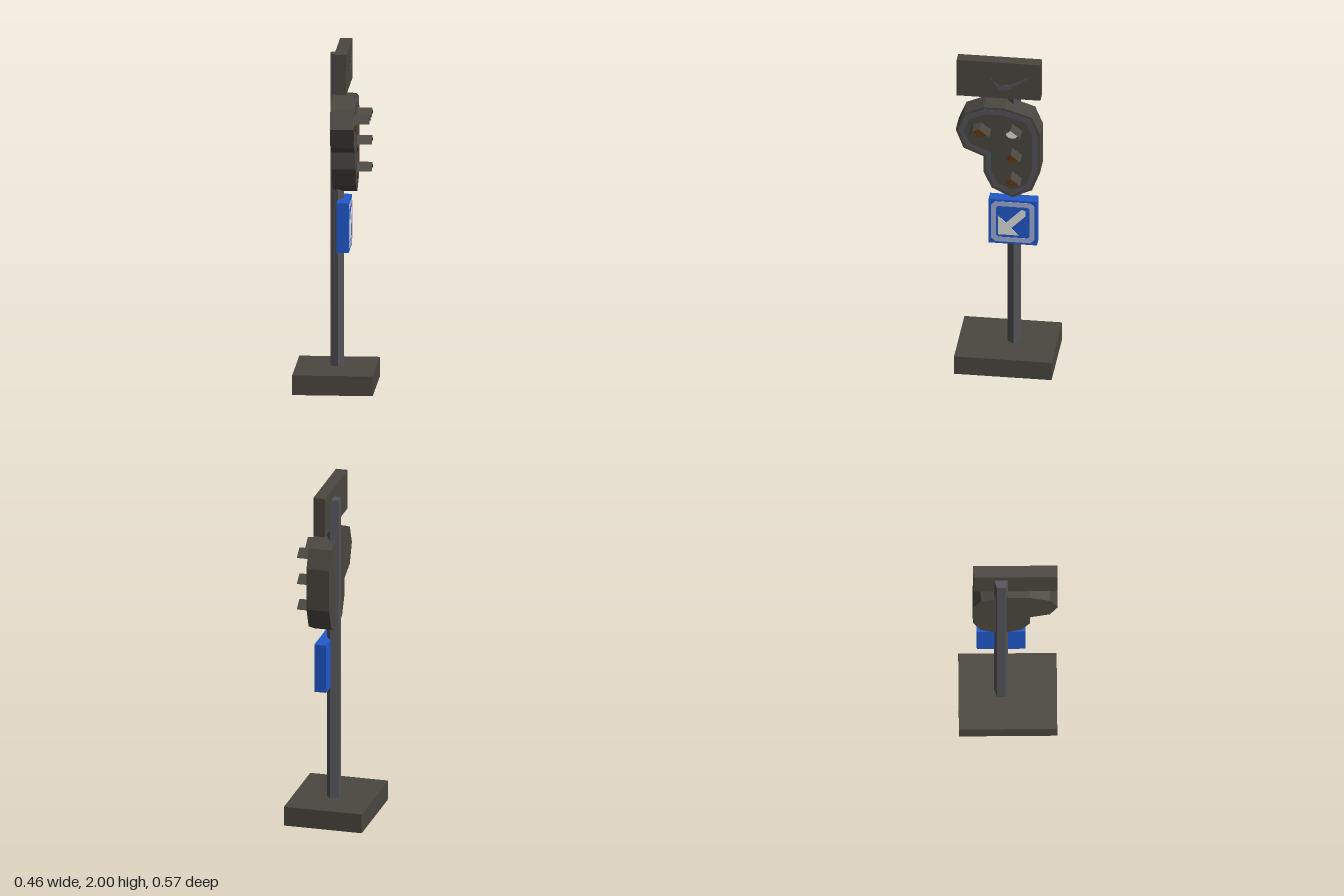
import * as THREE from 'three';

const mat = (name, color, side = THREE.FrontSide) => {
  const m = new THREE.MeshStandardMaterial({ color, side, flatShading: true });
  m.name = name;
  return m;
};

export function createModel() {
  const root = new THREE.Group();
  const dark = mat('dark housing', 0x4b4740, THREE.DoubleSide);
  const steel = mat('pole grey', 0x545359);
  const amber = mat('unlit amber', 0x64380f);
  const white = mat('white', 0xe2e2e0);
  const blue = mat('sign blue', 0x2159cc);
  const pale = mat('pale blue border', 0xa2afd6);

  const add = (name, geometry, material, x = 0, y = 0, z = 0) => {
    const mesh = new THREE.Mesh(geometry, material);
    mesh.name = name;
    mesh.position.set(x, y, z);
    root.add(mesh);
    return mesh;
  };
  // Box given by its limits on each axis
  const block = (name, material, [x0, x1], [y0, y1], [z0, z1]) =>
    add(name, new THREE.BoxGeometry(x1 - x0, y1 - y0, z1 - z0), material,
      (x0 + x1) / 2, (y0 + y1) / 2, (z0 + z1) / 2);
  // Outlines are [z, y] points; the plate grows from x along +x
  const toVectors = (pts) => pts.map(([z, y]) => new THREE.Vector2(-z, y));
  const plate = (name, material, pts, x, depth, hole) => {
    const shape = new THREE.Shape(toVectors(pts));
    if (hole) shape.holes.push(new THREE.Path(toVectors(hole)));
    const geo = new THREE.ExtrudeGeometry(shape, { depth, bevelEnabled: false });
    geo.rotateY(Math.PI / 2);
    return add(name, geo, material, x);
  };
  // Moves every edge of an outline inwards by d
  const inset = (pts, d) => pts.map((p, i) => {
    const a = pts[(i + pts.length - 1) % pts.length];
    const b = pts[(i + 1) % pts.length];
    const normal = (s, e) => {
      const l = Math.hypot(e[0] - s[0], e[1] - s[1]);
      return [(e[1] - s[1]) / l, -(e[0] - s[0]) / l];
    };
    const n = normal(a, p), m = normal(p, b);
    const k = d / (1 + n[0] * m[0] + n[1] * m[1]);
    return [p[0] - (n[0] + m[0]) * k, p[1] - (n[1] + m[1]) * k];
  });

  // Hollow base, open underneath
  const baseGeo = new THREE.BoxGeometry(0.464, 0.115, 0.565);
  const index = Array.from(baseGeo.index.array);
  index.splice(18, 6);
  baseGeo.setIndex(index);
  baseGeo.clearGroups();
  add('base', baseGeo, dark, 0, 0.0575, -0.002);

  // Five-sided pole with one edge facing the signal side
  const poleGeo = new THREE.CylinderGeometry(0.042, 0.042, 1.845, 5);
  poleGeo.rotateY(Math.PI / 2);
  add('pole', poleGeo, steel, 0, 1.0225, -0.04);

  // Upper board with a shallow chevron
  block('upperBoard', dark, [0.01, 0.08], [1.765, 2], [-0.2, 0.285]);
  plate('boardChevron', steel, [[0.09, 1.895], [0.06, 1.85], [0.035, 1.815], [-0.01, 1.82],
    [-0.125, 1.9], [-0.13, 1.915], [-0.02, 1.855], [0.04, 1.85]], 0.08, 0.002);

  // Signal head, counter-clockwise in z and y
  const outline = [[0.285, 1.56], [0.24, 1.443], [0.125, 1.395], [0.125, 1.295], [0.077, 1.19],
    [-0.04, 1.135], [-0.157, 1.19], [-0.203, 1.31], [-0.203, 1.56], [-0.157, 1.67],
    [0, 1.72], [0.125, 1.72], [0.24, 1.67]].reverse();
  plate('signalHousing', dark, outline, -0.015, 0.135);
  plate('signalBorder', steel, inset(outline, 0.015), 0.12, 0.002, inset(outline, 0.045));

  // Lamps
  const lamps = [[0.143, 1.56, amber], [-0.042, 1.565, white], [-0.042, 1.405, amber], [-0.042, 1.248, amber]];
  // Folded sheet hoods, as [z, y] offsets from the lamp centre
  const peaked = [[-0.057, 0.015], [0, 0.06], [0.057, 0.015]];
  const tilted = [[-0.063, 0.015], [-0.006, 0.06], [0.037, 0.047], [0.052, 0.015]];
  lamps.forEach(([z, y, material], i) => {
    const disc = new THREE.CylinderGeometry(0.039, 0.039, 0.005, 12);
    disc.rotateZ(-Math.PI / 2);
    add('lamp' + (i + 1), disc, material, 0.1225, y, z);

    const fold = i === 0 ? tilted : peaked;
    const pos = [], idx = [];
    fold.forEach(([dz, dy], j) => {
      pos.push(0.12, y + dy, z + dz, 0.207, y + dy, z + dz);
      if (j) idx.push(2 * j - 2, 2 * j, 2 * j - 1, 2 * j - 1, 2 * j, 2 * j + 1);
    });
    const hood = new THREE.BufferGeometry();
    hood.setAttribute('position', new THREE.Float32BufferAttribute(pos, 3));
    hood.setIndex(idx);
    hood.computeVertexNormals();
    add('hood' + (i + 1), hood, dark);
  });

  // Blue direction sign with a pale border and a diagonal arrow
  block('signBox', blue, [0.01, 0.08], [0.8, 1.09], [-0.18, 0.1]);
  const square = (d, c) => {
    const z0 = -0.18 + d, z1 = 0.1 - d, y0 = 0.8 + d, y1 = 1.09 - d;
    return [[z1 - c, y0], [z0 + c, y0], [z0, y0 + c], [z0, y1 - c],
      [z0 + c, y1], [z1 - c, y1], [z1, y1 - c], [z1, y0 + c]];
  };
  plate('signBorder', pale, square(0.013, 0.025), 0.08, 0.002, square(0.043, 0.012));
  plate('signArrow', white, [[0.045, 0.86], [-0.075, 0.86], [-0.03, 0.905], [-0.115, 0.99],
    [-0.115, 1.02], [-0.09, 1.03], [0, 0.938], [0.045, 0.985]], 0.08, 0.003);

  return root;
}
